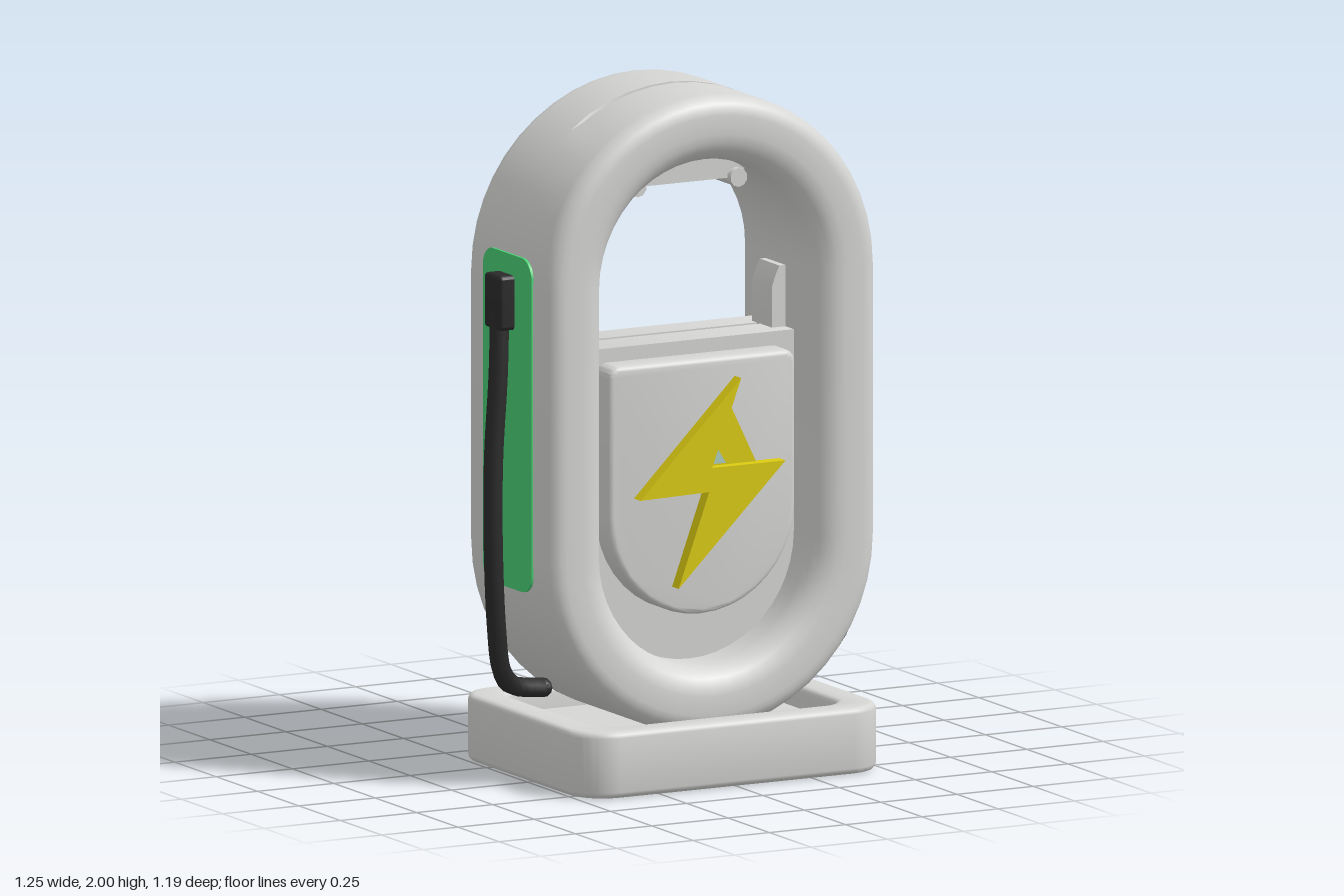
import * as THREE from 'three';
import { toCreasedNormals } from 'three/addons/utils/BufferGeometryUtils.js';

const mat = (name, color) => Object.assign(new THREE.MeshStandardMaterial({ color }), { name });

const TOP = 1.46, LOW = 0.67, OUTER = 0.54, INNER = 0.345;

// Rounded rectangle outline centred on (cx, cy)
function roundedRect(w, h, r, cx = 0, cy = 0, Type = THREE.Shape) {
  const s = new Type(), a = w / 2 - r, b = h / 2 - r;
  s.absarc(cx + a, cy + b, r, 0, Math.PI / 2);
  s.absarc(cx - a, cy + b, r, Math.PI / 2, Math.PI);
  s.absarc(cx - a, cy - b, r, Math.PI, Math.PI * 1.5);
  s.absarc(cx + a, cy - b, r, Math.PI * 1.5, Math.PI * 2);
  s.closePath();
  return s;
}

// Shield outline: half-round bottom, straight top with small rounded corners
function shield(r, cy, top, corner) {
  const s = new THREE.Shape();
  s.absarc(0, cy, r, Math.PI, Math.PI * 2);
  s.absarc(r - corner, top - corner, corner, 0, Math.PI / 2);
  s.absarc(corner - r, top - corner, corner, Math.PI / 2, Math.PI);
  s.closePath();
  return s;
}

// Extrusion between two z positions, bevel kept inside the outline
function slab(shape, z0, z1, bevel = 0) {
  const g = new THREE.ExtrudeGeometry(shape, {
    depth: z1 - z0 - 2 * bevel, curveSegments: 10, bevelEnabled: bevel > 0,
    bevelThickness: bevel, bevelSize: bevel, bevelOffset: -bevel, bevelSegments: 3,
  });
  g.translate(0, 0, z0 + bevel);
  return toCreasedNormals(g, 0.6);
}

// Stadium-shaped ring: rounded section swept round two half circles
function ringGeometry() {
  const section = [];
  const corner = (r, z, rad, start) => {
    for (let k = 0; k <= 5; k++) {
      const a = start + (k / 5) * Math.PI / 2;
      section.push({ r: r + rad * Math.cos(a), z: z + rad * Math.sin(a), cut: 0 });
    }
  };
  const ro = 0.055, ri = 0.085, z0 = -0.06, z1 = 0.46;
  corner(INNER + ri, z0 + ri, ri, Math.PI);
  corner(OUTER - ro, z0 + ro, ro, Math.PI * 1.5);
  // narrow slot across the crown
  for (const [z, cut] of [[0.19, 0], [0.195, 1], [0.205, 1], [0.21, 0]]) section.push({ r: OUTER, z, cut });
  corner(OUTER - ro, z1 - ro, ro, 0);
  corner(INNER + ri, z1 - ri, ri, Math.PI / 2);

  const pos = [], index = [], N = 24, rows = 2 * (N + 1), n = section.length;
  for (let i = 0; i < rows; i++) {
    const upper = i <= N;
    const a = Math.PI * (upper ? i / N : 1 + (i - N - 1) / N);
    for (const p of section) {
      const x = Math.cos(a) * OUTER;
      const depth = upper ? p.cut * 0.08 * Math.max(0, 1 - (x / 0.29) ** 2) : 0;
      pos.push(Math.cos(a) * (p.r - depth), (upper ? TOP : LOW) + Math.sin(a) * (p.r - depth), p.z);
    }
    for (let j = 0; j < n; j++) {
      const i2 = (i + 1) % rows, j2 = (j + 1) % n;
      const A = i * n + j, B = i2 * n + j, C = i2 * n + j2, D = i * n + j2;
      index.push(A, B, C, A, C, D);
    }
  }
  const g = new THREE.BufferGeometry();
  g.setAttribute('position', new THREE.Float32BufferAttribute(pos, 3));
  g.setIndex(index);
  return toCreasedNormals(g, 0.7);
}

const curve = pts => new THREE.CatmullRomCurve3(pts.map(p => new THREE.Vector3(...p)));

export function createModel() {
  const model = new THREE.Group();
  const grey = mat('shell grey', 0xd6d6d4);
  const mint = mat('pale mint', 0xaccdbf);
  const green = mat('bright green', 0x4ad174);
  const black = mat('cable black', 0x2b2b2b);
  const yellow = mat('bolt yellow', 0xdccb12);
  const add = (name, geo, material, parent = model) => {
    const m = new THREE.Mesh(geo, material);
    m.name = name;
    parent.add(m);
    return m;
  };

  // Tray base with a recessed floor
  const rim = roundedRect(1, 0.8, 0.12, 0, -0.2);
  rim.holes.push(roundedRect(0.8, 0.62, 0.08, 0, -0.2, THREE.Path));
  add('baseRim', slab(rim, 0, 0.195, 0.018).rotateX(-Math.PI / 2), grey);
  add('baseFloor', slab(roundedRect(0.9, 0.72, 0.1, 0, -0.2), 0.001, 0.13).rotateX(-Math.PI / 2), grey);

  // Upright ring
  add('ring', ringGeometry(), grey);

  // Layered panel inside the ring
  add('panelBack', slab(shield(0.355, LOW, 1.25, 0.01), 0.045, 0.06), mint);
  add('panelRearLayer', slab(shield(0.355, LOW, 1.26, 0.01), 0.06, 0.16), grey);
  add('panelCore', slab(shield(0.355, LOW, 1.22, 0.01), 0.16, 0.18), grey);
  add('panelFrontLayer', slab(shield(0.355, LOW, 1.26, 0.01), 0.18, 0.3), grey);
  add('panelFace', slab(shield(0.305, 0.775, 1.22, 0.035), 0.29, 0.385, 0.015), grey);

  // Lightning bolt on the panel
  const bolt = new THREE.Shape([[0.105, 1.16], [-0.225, 0.83], [0, 0.835], [-0.1, 0.56], [0.25, 0.905], [0.01, 0.905]]
    .map(p => new THREE.Vector2(...p)));
  add('bolt', slab(bolt, 0.38, 0.425), yellow);
  const web = new THREE.Shape([[0.08, 1.09], [0.01, 0.905], [0.17, 0.905]].map(p => new THREE.Vector2(...p)));
  add('boltWeb', slab(web, 0.385, 0.394), yellow);
  const chip = new THREE.Shape([[0.02, 0.91], [0.045, 0.95], [0.07, 0.91]].map(p => new THREE.Vector2(...p)));
  add('boltChip', slab(chip, 0.392, 0.398), mint);

  // Clip hanging under the crown
  const clip = new THREE.Group();
  clip.name = 'crownClip';
  model.add(clip);
  const clipShape = new THREE.Shape([[-0.22, 1.76], [-0.16, 1.72], [0.16, 1.72], [0.22, 1.76], [0.16, 1.84], [-0.16, 1.84]]
    .map(p => new THREE.Vector2(...p)));
  add('clipBar', slab(clipShape, 0.12, 0.28), grey, clip);

  for (const side of [-1, 1]) {
    add('clipFoot', new THREE.CylinderGeometry(0.028, 0.028, 0.2, 10).rotateX(Math.PI / 2)
      .translate(side * 0.165, 1.722, 0.2), grey, clip);

    // Bracket on the inner wall
    const bracket = new THREE.Shape([[0.3, 1.25], [0.3, 1.38], [0.315, 1.42], [0.325, 1.44], [0.36, 1.44], [0.36, 1.25]]
      .map(([x, y]) => new THREE.Vector2(side * x, y)));
    add('innerBracket', slab(bracket, 0.13, 0.25), grey);

    // Painted side plate
    add('sidePlate', slab(roundedRect(0.295, 0.98, 0.06), 0, 0.008)
      .rotateY(side * Math.PI / 2).translate(side * 0.536, 1.06, 0.207), green);

    // Plug and hanging cable
    add('plug', slab(roundedRect(0.1, 0.16, 0.012), -0.03, 0.03, 0.01)
      .rotateY(Math.PI / 2).translate(side * 0.56, 1.41, 0.2), black);
    const path = curve([[0.565, 1.38, 0.2], [0.575, 1.2, 0.21], [0.593, 0.95, 0.215], [0.594, 0.7, 0.215],
      [0.575, 0.45, 0.2], [0.545, 0.32, 0.175], [0.49, 0.265, 0.14], [0.38, 0.245, 0.12]]
      .map(([x, y, z]) => [side * x, y, z]));
    add('cable', new THREE.TubeGeometry(path, 40, 0.029, 8), black);
    add('cableEnd', new THREE.SphereGeometry(0.029, 8, 6).translate(side * 0.38, 0.245, 0.12), black);
  }

  // Loose cable end lying behind the base
  const loose = new THREE.Group();
  loose.name = 'looseCable';
  model.add(loose);
  const piece = (pts, r) => {
    add('looseTube', new THREE.TubeGeometry(curve(pts), 18, r, 7), black, loose);
    for (const p of [pts[0], pts[pts.length - 1]]) {
      add('looseTip', new THREE.SphereGeometry(r, 7, 5).translate(...p), black, loose);
    }
  };
  piece([[0.01, 0.036, -0.492], [0.045, 0.036, -0.455], [0.1, 0.036, -0.442]], 0.034);
  piece([[0.1, 0.034, -0.44], [0.112, 0.036, -0.5], [0.14, 0.03, -0.545], [0.2, 0.022, -0.572],
    [0.25, 0.022, -0.54], [0.305, 0.022, -0.52]], 0.021);

  return model;
}
